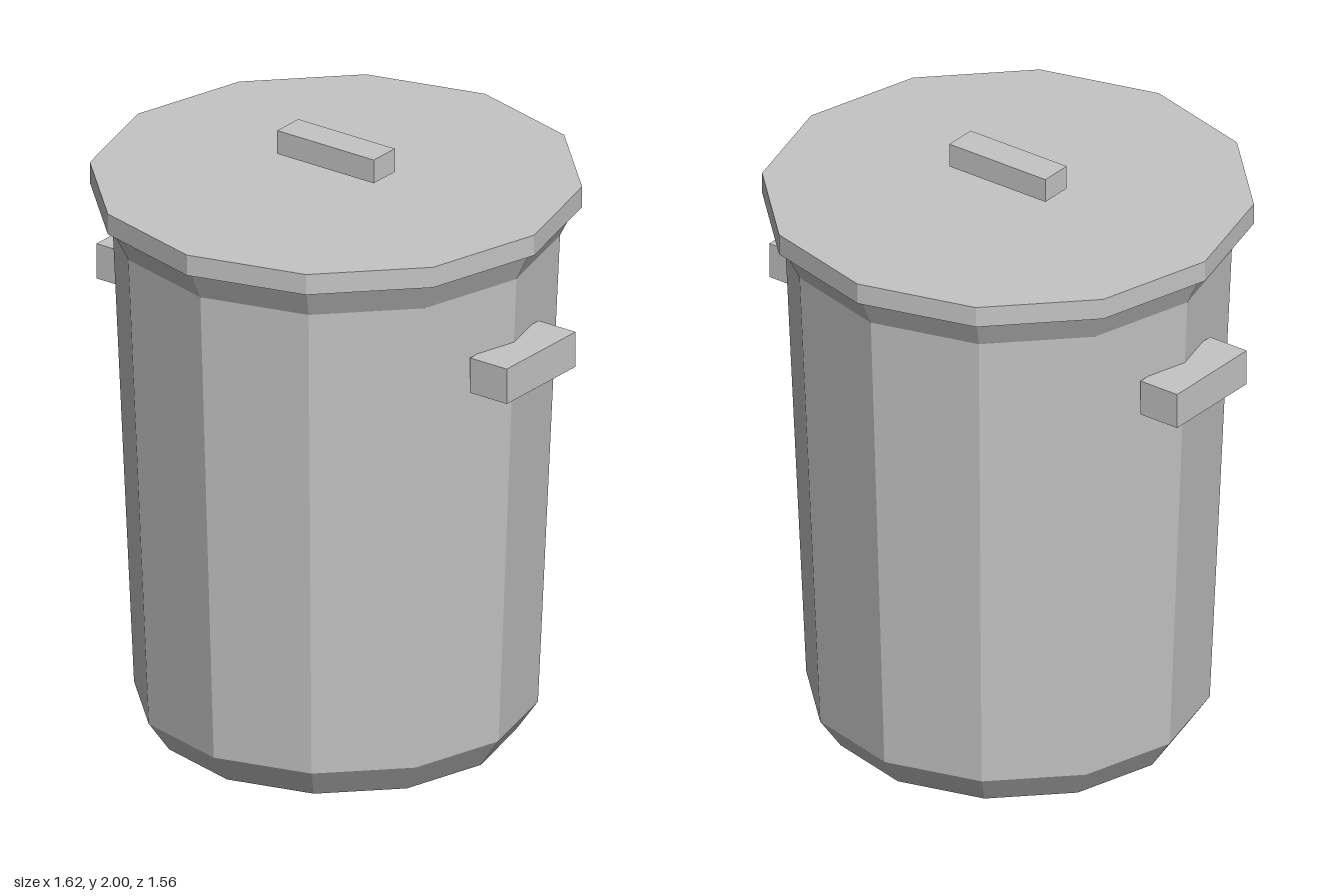
import * as THREE from 'three';

const SIDES = 12;

export function createModel() {
  const model = new THREE.Group();
  model.name = 'trashCan';

  const metal = new THREE.MeshStandardMaterial({ color: 0xc4c4c4, flatShading: true });
  metal.name = 'grey metal';

  function addPart(name, geometry, x, y, z) {
    const mesh = new THREE.Mesh(geometry, metal);
    mesh.name = name;
    mesh.position.set(x, y, z);
    model.add(mesh);
  }

  // Tapered body with a bevelled foot and a flared mouth
  const profile = [
    [0, 0], [0.57, 0], [0.64, 0.1], [0.71, 1.71], [0.76, 1.81],
  ].map(([r, y]) => new THREE.Vector2(r, y));
  addPart('body', new THREE.LatheGeometry(profile, SIDES), 0, 0, 0);

  // Flat lid overhanging the mouth
  addPart('lid', new THREE.CylinderGeometry(0.78, 0.78, 0.07, SIDES), 0, 1.845, 0);

  // Grip hovering just above the lid
  addPart('lidHandle', new THREE.BoxGeometry(0.38, 0.08, 0.11), 0, 1.96, 0);

  // Block handles on both sides
  for (const [name, side] of [['leftHandle', 1], ['rightHandle', -1]]) {
    addPart(name, new THREE.BoxGeometry(0.145, 0.12, 0.36), side * 0.735, 1.43, 0);
  }

  return model;
}
